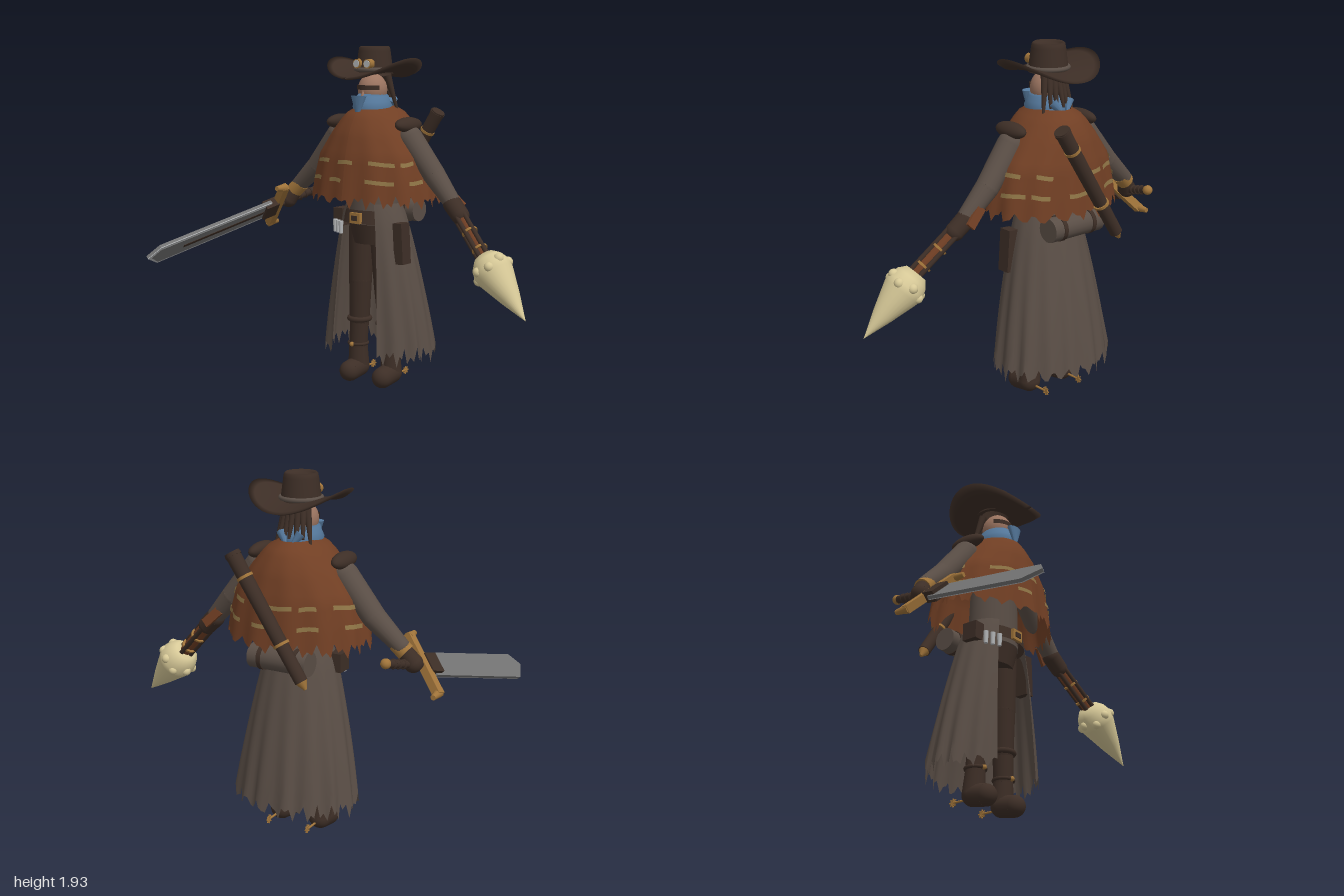
import * as THREE from 'three';

const mat = (name, color, double = false) => {
  const m = new THREE.MeshStandardMaterial({ color });
  m.name = name;
  if (double) m.side = THREE.DoubleSide;
  return m;
};
const V = (x, y, z) => new THREE.Vector3(x, y, z);
const UP = V(0, 1, 0);
const CX = -0.105; // body axis

export function createModel() {
  const root = new THREE.Group();
  root.name = 'wanderer';
  const leather = mat('dark leather', 0x3d2e26, true);
  const rust = mat('rust cloth', 0x713f24, true);
  const cloth = mat('grey brown cloth', 0x5a4e46, true);
  const brass = mat('brass', 0xa0743a);
  const tan = mat('tan trim', 0x8f7546, true);
  const bone = mat('bone', 0xd6c897);
  const skin = mat('skin', 0x9c7561);
  const blue = mat('blue scarf', 0x567a9e, true);
  const steel = mat('steel', 0x737373);
  const bright = mat('bright steel', 0xb4b6b8);

  const add = (name, geo, material, pos = [0, 0, 0], rot = [0, 0, 0], parent = root) => {
    const m = new THREE.Mesh(geo, material);
    m.name = name;
    m.position.set(...pos);
    m.rotation.set(...rot);
    parent.add(m);
    return m;
  };
  const ball = (name, material, pos, r, scale = [1, 1, 1], parent = root) => {
    const m = add(name, new THREE.SphereGeometry(r, 20, 14), material, pos, [0, 0, 0], parent);
    m.scale.set(...scale);
    return m;
  };
  // Tapered rod from point a to point b
  const rod = (name, material, a, b, ra, rb = ra) => {
    const d = b.clone().sub(a);
    const m = add(name, new THREE.CylinderGeometry(rb, ra, d.length(), 18), material, a.clone().lerp(b, 0.5).toArray());
    m.quaternion.setFromUnitVectors(UP, d.normalize());
    return m;
  };
  // Rounded limb through several joints
  const limb = (name, material, pts, radii) => pts.forEach((p, i) => {
    ball(name, material, p.toArray(), radii[i]);
    if (i) rod(name, material, pts[i - 1], p, radii[i - 1], radii[i]);
  });
  // Surface patch over u, v in 0..1; v runs down, front faces outward
  const sheet = (nu, nv, f) => {
    const pos = [], idx = [];
    for (let j = 0; j <= nv; j++) for (let i = 0; i <= nu; i++) pos.push(...f(i / nu, j / nv, i));
    for (let j = 0; j < nv; j++) for (let i = 0; i < nu; i++) {
      const a = j * (nu + 1) + i, c = a + nu + 1;
      idx.push(a, c, a + 1, a + 1, c, c + 1);
    }
    const g = new THREE.BufferGeometry();
    g.setAttribute('position', new THREE.Float32BufferAttribute(pos, 3));
    g.setIndex(idx);
    g.computeVertexNormals();
    return g;
  };
  const rag = (i) => 0.5 + 0.5 * Math.sin(i * 2.3) * Math.cos(i * 0.9 + 1);
  const lathe = (pts, n = 32) => new THREE.LatheGeometry(pts.map((p) => new THREE.Vector2(...p)), n);
  const TAU = Math.PI * 2;

  // Poncho: rows of [y, rx, rz]
  const rows = [[1.6, 0.09, 0.13], [1.56, 0.16, 0.19], [1.46, 0.245, 0.24], [1.33, 0.34, 0.272], [1.2, 0.375, 0.288], [1.0, 0.405, 0.31]];
  const poncho = (a, y, off = 0) => {
    let k = 0;
    while (k < rows.length - 2 && y < rows[k + 1][0]) k++;
    const t = (rows[k][0] - y) / (rows[k][0] - rows[k + 1][0]);
    const fold = 1 + 0.022 * Math.cos(a * 13) * Math.min(1, (1.6 - y) * 2);
    const r = (n) => (rows[k][n] + (rows[k + 1][n] - rows[k][n]) * t) * fold + off;
    return [CX + r(1) * Math.sin(a), y, -0.318 + r(2) * Math.cos(a)];
  };
  add('poncho', sheet(96, 14, (u, v, i) => poncho(u * TAU, 1.6 - v * (0.47 + 0.085 * rag(i % 96) * v ** 4))), rust);
  for (const y of [1.31, 1.21]) for (let k = 0; k < 10; k++) {
    const a0 = k * TAU / 10 - 0.22 + 0.08 * Math.sin(k * 5 + y * 30), w = 0.36 + 0.1 * Math.sin(k * 3 + y * 9);
    add('ponchoStripe', sheet(12, 1, (u, v) => poncho(a0 + u * w, y - v * 0.022 + 0.006 * Math.sin(k * 2 + u * 3), 0.006)), tan);
  }

  // Torso and long coat, open at the front
  add('torso', new THREE.CylinderGeometry(0.13, 0.15, 0.6, 28), cloth, [CX, 1.24, -0.3]).scale.z = 0.9;
  add('coat', sheet(90, 12, (u, v, i) => {
    const gap = 0.62 - 0.13 * v, a = gap + u * (TAU - 2 * gap);
    const f = 1 + 0.035 * Math.cos(a * 15) * v, s = v ** 0.75;
    return [CX + (0.16 + 0.18 * s) * f * Math.sin(a), 1.06 - v * (0.8 + 0.11 * rag(i) * v ** 5), -0.3 - 0.055 * v + (0.145 + 0.115 * s) * f * Math.cos(a)];
  }), cloth);
  // Belt, buckle and belt gear
  add('belt', new THREE.CylinderGeometry(0.175, 0.195, 0.075, 32, 1, true), leather, [CX, 0.985, -0.305]).scale.z = 0.86;
  add('hips', new THREE.CylinderGeometry(0.15, 0.115, 0.15, 24), leather, [CX, 0.9, -0.285]).scale.z = 0.8;
  add('buckle', new THREE.BoxGeometry(0.075, 0.06, 0.02), brass, [CX, 0.98, -0.135]);
  add('buckleInset', new THREE.BoxGeometry(0.04, 0.028, 0.006), leather, [CX, 0.98, -0.123]);
  for (let k = 0; k < 3; k++) {
    const x = -0.3 + k * 0.036;
    rod('vial', bright, V(x, 0.88, -0.19 + k * 0.018), V(x, 0.95, -0.19 + k * 0.018), 0.011, 0.014);
  }
  add('holster', new THREE.BoxGeometry(0.06, 0.23, 0.075), leather, [0.125, 0.845, -0.26], [0, 0, 0.06]);
  add('pouch', new THREE.BoxGeometry(0.07, 0.1, 0.09), leather, [-0.31, 0.96, -0.27]);
  rod('bedroll', cloth, V(CX - 0.17, 1.0, -0.505), V(CX + 0.17, 1.0, -0.505), 0.065);
  for (const s of [-1, 1]) rod('bedrollStrap', leather, V(CX + s * 0.1 - 0.012, 1.0, -0.505), V(CX + s * 0.1 + 0.012, 1.0, -0.505), 0.069);

  // Legs, boots, spurs and shoulder pads, mirrored
  for (const s of [-1, 1]) {
    const x = (d) => CX + s * d;
    limb('trouserLeg', leather, [V(x(0.075), 0.9, -0.285), V(x(0.09), 0.6, -0.29), V(x(0.105), 0.36, -0.3)], [0.075, 0.066, 0.058]);
    limb('boot', leather, [V(x(0.105), 0.36, -0.3), V(x(0.118), 0.2, -0.305), V(x(0.12), 0.075, -0.312), V(x(0.12), 0.06, -0.228)], [0.056, 0.054, 0.062, 0.06]);
    add('bootCuff', new THREE.TorusGeometry(0.058, 0.016, 8, 24), leather, [x(0.105), 0.365, -0.3], [Math.PI / 2, 0, 0]);
    add('ankleStrap', new THREE.TorusGeometry(0.054, 0.01, 8, 24), leather, [x(0.118), 0.215, -0.304], [Math.PI / 2, 0, 0]);
    ball('strapStud', brass, [x(0.118), 0.215, -0.245], 0.014);
    rod('spurShank', brass, V(x(0.12), 0.058, -0.36), V(x(0.12), 0.058, -0.445), 0.006);
    add('spurWheel', new THREE.TorusGeometry(0.015, 0.004, 6, 12), brass, [x(0.12), 0.058, -0.448], [0, Math.PI / 2, 0]);
    for (let k = 0; k < 4; k++) add('spurSpike', new THREE.BoxGeometry(0.006, 0.048, 0.006), brass, [x(0.12), 0.058, -0.448], [k * Math.PI / 4, 0, 0]);
    ball('shoulderPad', leather, [x(0.245), 1.505, -0.295], 0.11, [0.42, 0.36, 1]).rotation.z = -s * 0.6;
  }

  // Head, dark glasses, hair and scarf
  ball('head', skin, [CX, 1.69, -0.285], 0.086, [0.94, 1.08, 1]);
  add('nose', new THREE.ConeGeometry(0.014, 0.04, 8), skin, [CX, 1.675, -0.2]);
  add('glasses', new THREE.CylinderGeometry(0.086, 0.086, 0.026, 20, 1, true, -1.15, 2.3), leather, [CX, 1.705, -0.284]);
  for (let k = 0; k < 7; k++) {
    const a = Math.PI + (k - 3) * 0.28;
    rod('hairStrand', leather, V(CX + 0.08 * Math.sin(a), 1.77, -0.29 + 0.08 * Math.cos(a)),
      V(CX + 0.135 * Math.sin(a), 1.58 + 0.03 * (k % 2), -0.29 + 0.135 * Math.cos(a)), 0.022, 0.007);
  }
  add('scarf', lathe([[0.115, 1.565], [0.123, 1.6], [0.11, 1.625], [0.1, 1.655], [0.085, 1.67], [0.075, 1.65]]), blue, [CX, 0, -0.285]).scale.x = 0.85;
  const point = add('scarfPoint', new THREE.ConeGeometry(0.052, 0.13, 12), blue, [CX, 1.595, -0.155], [Math.PI - 0.1, 0, 0]);
  point.scale.z = 0.5;
  for (const s of [-1, 1]) add('scarfTail', new THREE.ConeGeometry(0.028, 0.1, 8), blue, [CX + s * 0.03, 1.6, -0.42], [0.5, 0, s * 2.6]);

  // Hat with brim rolled up at the sides
  const hz = -0.302;
  add('hatBrim', sheet(64, 12, (u, v) => {
    const a = u * TAU, top = v <= 0.5, k = top ? v * 2 : 2 - v * 2;
    const r = 0.08 + 0.185 * k, q = (r / 0.265) ** 2;
    return [CX + r * Math.sin(a), 1.792 + q * (0.078 * Math.sin(a) ** 2 - 0.032 * Math.cos(a) ** 2) - (top ? 0 : 0.016), hz + r * Math.cos(a)];
  }), leather);
  add('hatCrown', lathe([[0.106, 1.78], [0.1, 1.83], [0.09, 1.905], [0.086, 1.925], [0.078, 1.932], [0.066, 1.922], [0.058, 1.912], [0, 1.914]]), leather, [CX, 0, hz]);
  add('hatBand', new THREE.TorusGeometry(0.104, 0.012, 8, 36), cloth, [CX, 1.803, hz], [Math.PI / 2, 0, 0]);
  for (const s of [-1, 1]) {
    add('goggleRim', new THREE.CylinderGeometry(0.026, 0.028, 0.035, 18), brass, [CX + s * 0.037, 1.836, -0.205], [Math.PI / 2, 0, 0]);
    add('goggleLens', new THREE.CylinderGeometry(0.02, 0.02, 0.006, 18), bright, [CX + s * 0.037, 1.836, -0.186], [Math.PI / 2, 0, 0]);
  }

  // Tube case slung across the back
  const t0 = V(-0.3, 0.95, -0.632), t1 = V(0.1, 1.56, -0.632);
  const along = (k) => t0.clone().lerp(t1, k);
  rod('backCase', leather, t0, t1, 0.034, 0.04);
  rod('backCaseTip', brass, along(-0.06), along(0.0), 0.008, 0.03);
  for (const k of [0.28, 0.8, 0.97]) rod('backCaseRing', k > 0.9 ? leather : brass, along(k), along(k + 0.02), 0.043);

  // Right arm and gloved hand
  limb('rightArm', cloth, [V(-0.36, 1.43, -0.3), V(-0.53, 1.235, -0.305), V(-0.68, 1.105, -0.3)], [0.07, 0.062, 0.045]);
  rod('rightCuff', brass, V(-0.655, 1.12, -0.3), V(-0.705, 1.075, -0.293), 0.046, 0.048);
  limb('rightHand', leather, [V(-0.7, 1.075, -0.293), V(-0.738, 1.02, -0.275)], [0.042, 0.05]);

  // Broad sword: local x across the blade, local y toward the tip
  const sword = new THREE.Group();
  sword.name = 'sword';
  const dir = V(-0.215, -0.25, 0.945).normalize();
  const nrm = V(0.64, 0.68, 0.32).cross(dir).normalize();
  sword.quaternion.setFromRotationMatrix(new THREE.Matrix4().makeBasis(dir.clone().cross(nrm), dir, nrm));
  sword.position.set(-0.755, 0.99, -0.19);
  root.add(sword);
  const blade = (inset, depth) => new THREE.ExtrudeGeometry(new THREE.Shape([
    [-0.068 + inset, 0.06], [0.068 - inset, 0.06], [0.074 - inset, 0.83], [0.01, 0.905 - inset * 1.4], [-0.074 + inset, 0.83],
  ].map((p) => new THREE.Vector2(...p))), { depth, bevelEnabled: false });
  add('blade', blade(0, 0.018), steel, [0, 0, -0.011], [0, 0, 0], sword);
  add('bladeEdge', blade(0, 0.004), bright, [0, 0, 0.007], [0, 0, 0], sword);
  add('bladeFace', blade(0.015, 0.004), steel, [0, 0, 0.01], [0, 0, 0], sword);
  add('bladeGroove', new THREE.BoxGeometry(0.02, 0.56, 0.004), leather, [0, 0.39, 0.015], [0, 0, 0], sword);
  add('bladeCollar', new THREE.BoxGeometry(0.11, 0.09, 0.06), leather, [0, 0.06, 0], [0, 0, 0], sword);
  add('guard', new THREE.BoxGeometry(0.36, 0.045, 0.045), brass, [0, 0, 0], [0, 0, 0], sword);
  for (const s of [-1, 1]) add('guardHook', new THREE.CylinderGeometry(0.014, 0.026, 0.08, 10), brass, [s * 0.18, s * 0.025, 0], [0, 0, s > 0 ? -0.4 : Math.PI - 0.4], sword);
  add('grip', new THREE.CylinderGeometry(0.018, 0.022, 0.29, 14), leather, [0, -0.15, 0], [0, 0, 0], sword);
  for (let k = 0; k < 3; k++) add('gripRing', new THREE.TorusGeometry(0.02, 0.007, 6, 16), leather, [0, -0.17 - k * 0.04, 0], [Math.PI / 2, 0, 0], sword);
  ball('pommel', brass, [0, -0.31, 0], 0.027, [1, 1, 1], sword);

  // Left arm ending in a mechanical forearm
  limb('leftArm', cloth, [V(0.15, 1.43, -0.3), V(0.31, 1.235, -0.31), V(0.46, 1.075, -0.295)], [0.07, 0.062, 0.045]);
  limb('elbowGuard', leather, [V(0.44, 1.09, -0.297), V(0.5, 1.035, -0.285)], [0.052, 0.05]);
  const f0 = V(0.5, 1.035, -0.285), f1 = V(0.72, 0.82, -0.216);
  rod('forearm', rust, f0, f1, 0.036, 0.03);
  for (const [dx, dy, dz] of [[0.024, 0.024, 0.01], [-0.024, -0.024, 0.01], [0, 0, 0.036], [0, 0, -0.036]]) {
    const o = V(dx, dy, dz);
    rod('forearmRod', leather, f0.clone().add(o), f1.clone().add(o), 0.013);
  }
  for (const k of [0.35, 0.72]) rod('forearmRing', brass, f0.clone().lerp(f1, k), f0.clone().lerp(f1, k + 0.04), 0.044);
  add('forearmPlate', new THREE.BoxGeometry(0.05, 0.12, 0.018), rust, [0.42, 1.11, -0.355], [0.2, 0, 0.8]);

  // Bone spike
  const spike = new THREE.Group();
  spike.name = 'boneSpike';
  spike.position.set(0.7, 0.84, -0.22);
  spike.quaternion.setFromUnitVectors(UP, V(0.295, -0.295, 0.05).normalize());
  root.add(spike);
  add('spikeCone', lathe([[0, 0], [0.06, 0], [0.09, 0.035], [0.108, 0.085], [0.103, 0.12], [0.055, 0.27], [0, 0.42]], 24), bone, [0, 0, 0], [0, 0, 0], spike);
  for (let k = 0; k < 8; k++) {
    const a = k * TAU / 8;
    ball('spikeKnob', bone, [0.092 * Math.sin(a), 0.075 + 0.02 * (k % 2), 0.092 * Math.cos(a)], 0.027, [1, 1, 1], spike);
  }
  return root;
}
